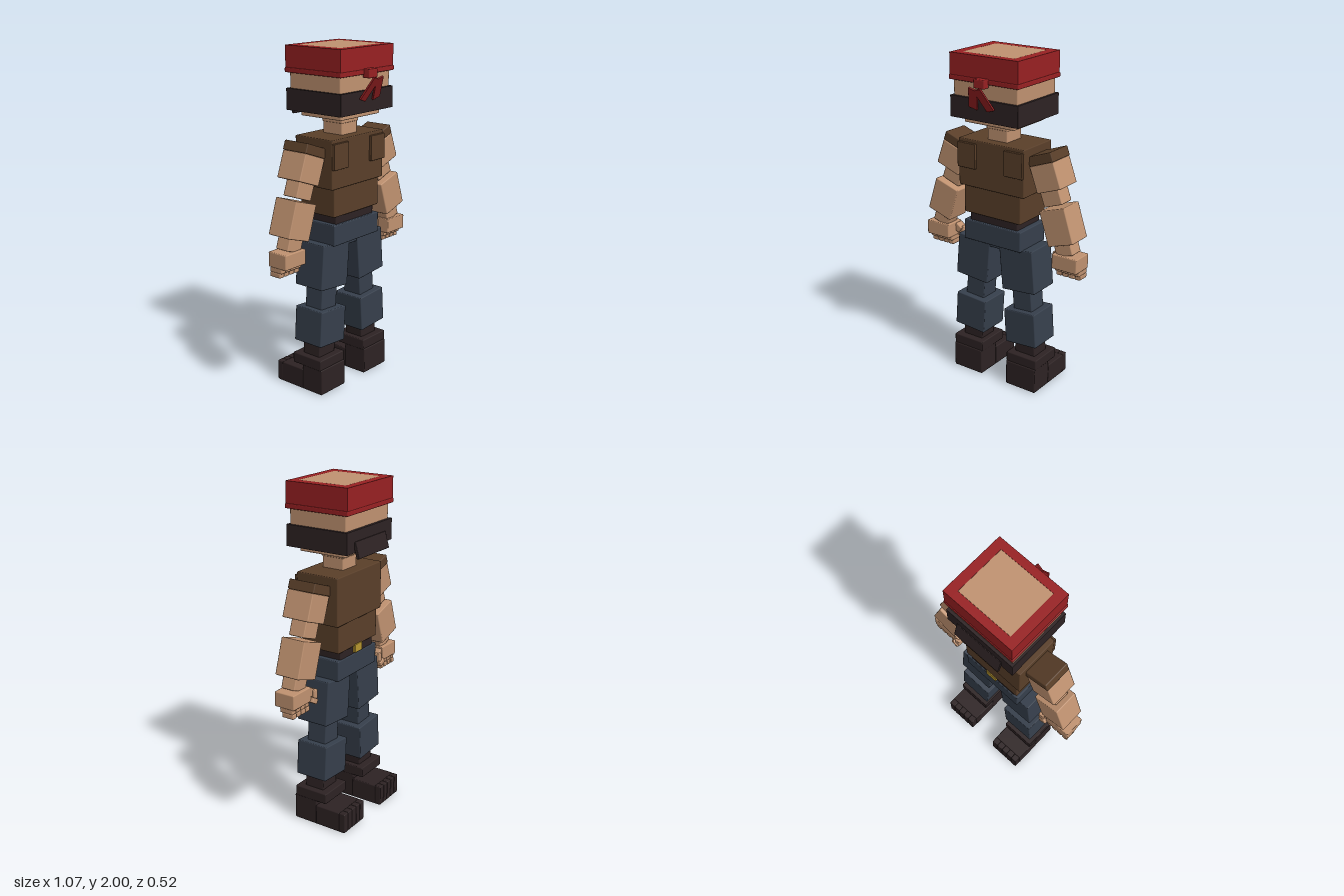
import * as THREE from 'three';
import { RoundedBoxGeometry } from 'three/addons/geometries/RoundedBoxGeometry.js';

const mat = (name, color) => {
  const m = new THREE.MeshStandardMaterial({ color });
  m.name = name;
  return m;
};

export function createModel() {
  const skin = mat('skin', 0xc09270);
  const red = mat('red cloth', 0x982022);
  const brown = mat('brown vest', 0x5a3f29);
  const dark = mat('dark leather', 0x2d2223);
  const denim = mat('denim', 0x363f4c);
  const gold = mat('gold', 0xb8972f);

  const model = new THREE.Group();

  // softly bevelled block from centre and size
  const block = (parent, name, material, [x, y, z], [w, h, d], tilt = 0, bevel = 0.006) => {
    const r = Math.min(bevel, Math.min(w, h, d) * 0.2);
    const mesh = new THREE.Mesh(new RoundedBoxGeometry(w, h, d, 1, r), material);
    mesh.name = name;
    mesh.position.set(x, y, z);
    mesh.rotation.z = THREE.MathUtils.degToRad(tilt);
    parent.add(mesh);
    return mesh;
  };
  // the same from its lower and upper limits
  const span = (parent, name, material, x0, x1, y0, y1, z0, z1, bevel) =>
    block(parent, name, material, [(x0 + x1) / 2, (y0 + y1) / 2, (z0 + z1) / 2],
      [x1 - x0, y1 - y0, z1 - z0], 0, bevel);
  const group = (name, parent = model) => {
    const g = new THREE.Group();
    g.name = name;
    parent.add(g);
    return g;
  };

  // head, with inset crown and jaw plates
  const head = group('head');
  span(head, 'skull', skin, -0.215, 0.215, 1.645, 1.97, -0.205, 0.16);
  span(head, 'crown', skin, -0.173, 0.173, 1.95, 2.0, -0.176, 0.128, 0.001);
  span(head, 'jaw', skin, -0.17, 0.17, 1.607, 1.66, -0.167, 0.127);
  span(head, 'neckTop', skin, -0.073, 0.073, 1.57, 1.612, -0.095, 0.053);
  span(head, 'neck', skin, -0.068, 0.068, 1.48, 1.575, -0.09, 0.048);

  // bandana: four walls around the crown, a hem, a knot and two tails
  const bandana = group('bandana', head);
  for (const s of [-1, 1]) {
    span(bandana, 'bandanaSide', red, Math.min(s * 0.173, s * 0.229), Math.max(s * 0.173, s * 0.229),
      1.86, 2.0, -0.225, 0.176, 0.001);
  }
  span(bandana, 'bandanaFront', red, -0.229, 0.229, 1.86, 2.0, -0.225, -0.176, 0.001);
  span(bandana, 'bandanaBack', red, -0.229, 0.229, 1.86, 2.0, 0.128, 0.176, 0.001);
  span(bandana, 'bandanaHem', red, -0.234, 0.234, 1.85, 1.878, -0.228, 0.18);
  span(bandana, 'knot', red, -0.037, 0.037, 1.832, 1.882, 0.17, 0.217);
  for (const s of [-1, 1]) {
    const tail = block(bandana, 'knotTail', red, [s * 0.036, 1.775, 0.217], [0.056, 0.145, 0.012]);
    tail.rotation.order = 'XYZ';
    tail.rotation.set(0.47, 0, s * 0.33);
  }

  // mask and its tilted front flap
  span(head, 'mask', dark, -0.229, 0.229, 1.64, 1.763, -0.222, 0.176, 0.002);
  const flap = block(head, 'maskFlap', dark, [0, 1.655, -0.231], [0.31, 0.095, 0.018]);
  flap.rotation.x = 0.28;

  // torso
  const torso = group('torso');
  span(torso, 'chest', brown, -0.226, 0.226, 1.225, 1.505, -0.16, 0.112);
  span(torso, 'waist', brown, -0.197, 0.197, 1.06, 1.235, -0.149, 0.102);
  span(torso, 'belt', dark, -0.167, 0.167, 1.0, 1.07, -0.14, 0.088);
  span(torso, 'buckle', gold, -0.037, 0.037, 1.02, 1.07, -0.155, -0.138);
  span(torso, 'pelvis', denim, -0.199, 0.199, 0.892, 1.014, -0.147, 0.105);
  span(torso, 'crotch', denim, -0.085, 0.085, 0.865, 0.9, -0.11, 0.075);
  for (const s of [-1, 1]) {
    block(torso, 'backPatch', brown, [s * 0.162, 1.412, 0.118], [0.125, 0.148, 0.02]);
  }

  for (const s of [-1, 1]) {
    const side = s > 0 ? 'left' : 'right';

    // arm
    const arm = group(side + 'Arm');
    const A = (name, m, x, y, z, size, tilt) => block(arm, name, m, [s * x, y, z], size, s * tilt);
    A('shoulderPad', brown, 0.294, 1.452, -0.026, [0.166, 0.056, 0.172], 20);
    A('upperArm', skin, 0.33, 1.353, -0.024, [0.163, 0.155, 0.17], 20);
    A('elbow', skin, 0.348, 1.235, -0.024, [0.125, 0.1, 0.1], 20);
    A('forearm', skin, 0.403, 1.076, -0.024, [0.17, 0.21, 0.155], 18);
    A('wrist', skin, 0.433, 0.955, -0.018, [0.11, 0.1, 0.09], 18);
    A('palm', skin, 0.455, 0.868, -0.02, [0.164, 0.088, 0.13], 0);
    for (let i = 0; i < 4; i++) {
      const x = 0.394 + i * 0.041;
      A('fingerBase', skin, x, 0.812, -0.032, [0.038, 0.03, 0.085], 0);
      A('fingerTip', skin, x, 0.783, -0.04, [0.036, 0.028, 0.075], 0);
    }
    A('thumbBase', skin, 0.363, 0.875, -0.055, [0.05, 0.045, 0.055], 35);
    A('thumbMiddle', skin, 0.341, 0.858, -0.068, [0.034, 0.055, 0.055], 0);
    A('thumbTip', skin, 0.357, 0.825, -0.078, [0.05, 0.032, 0.05], 30);

    // leg
    const leg = group(side + 'Leg');
    const L = (name, m, x, y, z, size, tilt) => block(leg, name, m, [s * x, y, z], size, s * tilt);
    L('thigh', denim, 0.159, 0.763, -0.021, [0.228, 0.262, 0.202], 5);
    L('knee', denim, 0.171, 0.565, -0.022, [0.13, 0.15, 0.125], 5);
    L('shin', denim, 0.183, 0.396, -0.021, [0.214, 0.212, 0.202], 4);
    L('ankle', dark, 0.193, 0.25, -0.022, [0.138, 0.1, 0.125], 4);

    // boot with segmented toe
    L('bootCuff', dark, 0.197, 0.185, -0.023, [0.212, 0.064, 0.215], 0);
    L('bootHeel', dark, 0.197, 0.081, 0.016, [0.208, 0.156, 0.152], 0);
    L('bootToe', dark, 0.197, 0.064, -0.14, [0.21, 0.122, 0.166], 0);
    for (let i = 0; i < 5; i++) {
      L('toe', dark, 0.114 + i * 0.0415, 0.064, -0.24, [0.041, 0.122, 0.042], 0);
    }
    L('sole', dark, 0.197, 0.004, -0.085, [0.2, 0.008, 0.34], 0);
  }

  return model;
}
